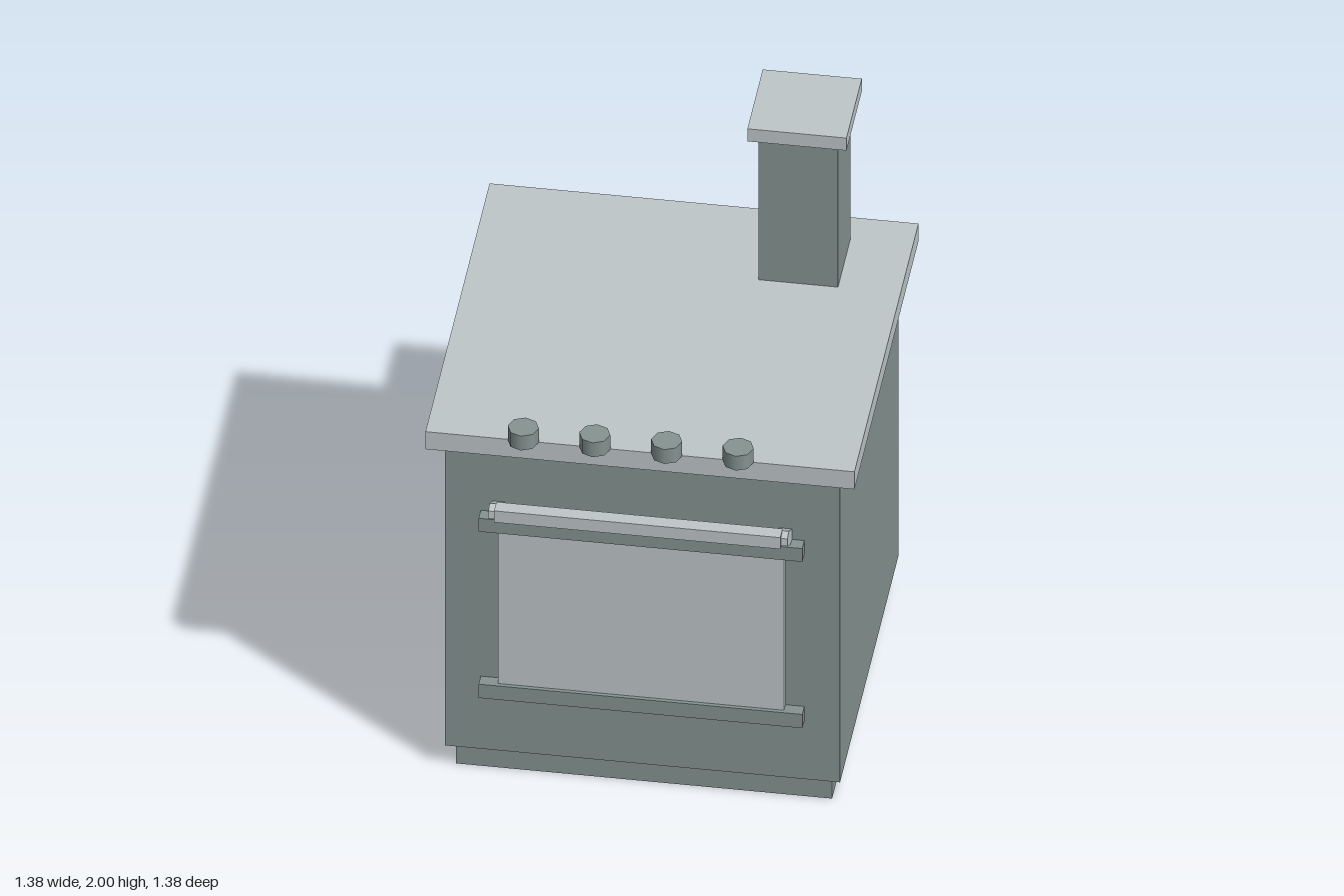
import * as THREE from 'three';

export function createModel() {
  const stove = new THREE.Group();
  stove.name = 'stove';

  const iron = new THREE.MeshStandardMaterial({ color: 0x859391 });
  iron.name = 'grey green iron';
  const steel = new THREE.MeshStandardMaterial({ color: 0xbec6c8 });
  steel.name = 'pale steel';

  const add = (name, geometry, material) => {
    const mesh = new THREE.Mesh(geometry, material);
    mesh.name = name;
    stove.add(mesh);
    return mesh;
  };

  // Box given by its lower and upper limits on each axis
  const box = (name, material, [x0, x1], [y0, y1], [z0, z1]) => {
    const mesh = add(name, new THREE.BoxGeometry(x1 - x0, y1 - y0, z1 - z0), material);
    mesh.position.set((x0 + x1) / 2, (y0 + y1) / 2, (z0 + z1) / 2);
    return mesh;
  };

  // Body
  box('plinth', iron, [-0.61, 0.605], [0, 0.09], [-0.603, 0.555]);
  box('body', iron, [-0.64, 0.635], [0.09, 1.308], [-0.632, 0.584]);
  box('cooktop', steel, [-0.695, 0.69], [1.308, 1.378], [-0.692, 0.638]);
  box('backPanel', iron, [-0.585, 0], [1.19, 1.308], [-0.664, -0.632]);

  // Chimney
  box('chimney', iron, [0.232, 0.488], [1.378, 1.95], [-0.577, -0.32]);
  box('chimneyCap', steel, [0.2, 0.52], [1.95, 2], [-0.608, -0.29]);

  // Oven door
  box('doorPanel', steel, [-0.465, 0.459], [0.38, 0.99], [0.584, 0.614]);
  box('doorLowerRail', iron, [-0.525, 0.52], [0.325, 0.38], [0.584, 0.627]);
  box('doorUpperRail', iron, [-0.525, 0.52], [0.99, 1.043], [0.584, 0.627]);

  // Handle bar and its two slanting arms
  box('handleBar', steel, [-0.465, 0.459], [1.083, 1.129], [0.645, 0.693]);
  const arm = new THREE.Shape([
    [0.584, 1.045], [0.622, 1.05], [0.68, 1.087], [0.678, 1.115], [0.65, 1.125], [0.584, 1.085],
  ].map(([z, y]) => new THREE.Vector2(-z, y)));
  const armGeometry = new THREE.ExtrudeGeometry(arm, { depth: 0.04, bevelEnabled: false });
  armGeometry.translate(0, 0, -0.02).rotateY(Math.PI / 2);
  for (const x of [-0.466, 0.46]) add('handleArm', armGeometry, steel).position.x = x;

  // Knobs
  const knob = new THREE.CylinderGeometry(0.05, 0.05, 0.057, 8);
  for (const x of [-0.379, -0.148, 0.084, 0.315]) {
    add('knob', knob, iron).position.set(x, 1.4065, 0.64);
  }

  return stove;
}
